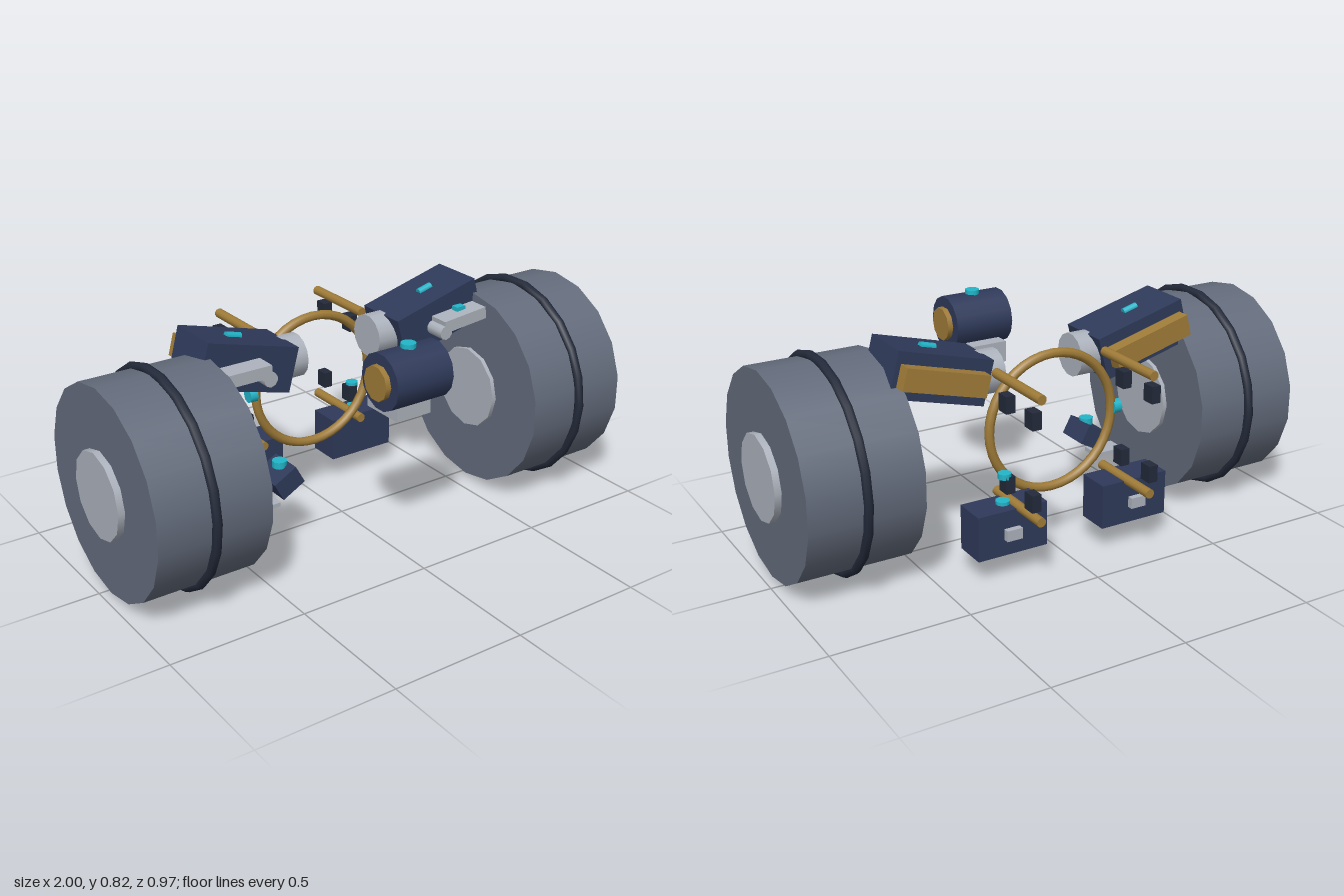
import * as THREE from 'three';

const mat = (color) => new THREE.MeshStandardMaterial({ color });

export function createModel() {
  const root = new THREE.Group();
  const navy = mat(0x2f3a5a), slate = mat(0x646c7c), dark = mat(0x232a3a);
  const grey = mat(0xadb3bd), bronze = mat(0xa07c38), cyan = mat(0x22b5c9);

  function add(name, geometry, material, x, y, z, parent = root) {
    const mesh = new THREE.Mesh(geometry, material);
    mesh.name = name;
    mesh.position.set(x, y, z);
    parent.add(mesh);
    return mesh;
  }
  const box = (w, h, d) => new THREE.BoxGeometry(w, h, d);
  const cyl = (r, length, sides, start = 0) =>
    new THREE.CylinderGeometry(r, r, length, sides, 1, false, start);
  const cylX = (r, length, sides, start) => cyl(r, length, sides, start).rotateZ(Math.PI / 2);
  const cylZ = (r, length, sides) => cyl(r, length, sides).rotateX(Math.PI / 2);

  for (const s of [-1, 1]) {
    const side = s > 0 ? 'left' : 'right';

    // Large drums with a raised band and a hub through the middle
    add(side + 'Drum', cylX(0.375, 0.415, 18, Math.PI / 2), slate, s * 0.768, 0.4, 0.047);
    add(side + 'DrumBand', new THREE.TorusGeometry(0.38, 0.017, 8, 22).rotateY(Math.PI / 2),
      dark, s * 0.77, 0.4, 0.047);
    add(side + 'Hub', cylX(0.156, 0.455, 12), grey, s * 0.772, 0.4, 0.047);

    // Tilted shoulder housing with rear rail and top lamp
    const shoulder = new THREE.Group();
    shoulder.name = side + 'Shoulder';
    shoulder.position.set(s * 0.41, 0.704, -0.057);
    shoulder.rotation.z = s * 0.262;
    root.add(shoulder);
    add('shoulderHousing', box(0.365, 0.165, 0.207), navy, 0, 0, 0, shoulder);
    add('shoulderRail', box(0.32, 0.08, 0.05), bronze, s * 0.005, 0, -0.128, shoulder);
    add('shoulderLamp', cylX(0.014, 0.058, 8), cyan, s * 0.024, 0.083, 0, shoulder);

    // Joint between the shoulder and the centre
    add(side + 'Joint', cylX(0.08, 0.1, 14), grey, s * 0.204, 0.662, -0.062);

    // Lever on the front of the shoulder
    const lever = add(side + 'Lever', box(0.19, 0.045, 0.08), grey, s * 0.465, 0.712, 0.085);
    lever.rotation.z = s > 0 ? 0.1 : 0;
    add(side + 'LeverPivot', cylZ(0.027, 0.08, 10), grey, s * 0.375, 0.682, 0.085);

    // Lower rear box and its latch
    add(side + 'LowerBox', box(0.27, 0.165, 0.125), navy, s * 0.25, 0.182, -0.287);
    add(side + 'LowerLatch', box(0.06, 0.04, 0.03), grey, s * 0.255, 0.18, -0.357);

    // Rear rods with small blocks beside them
    for (const y of [0.7, 0.265]) {
      add(side + 'Rod', cylZ(0.0175, 0.3, 10), bronze, s * 0.22, y, -0.335);
    }
    for (const y of [0.628, 0.335]) {
      for (const z of [-0.285, -0.455]) {
        add(side + 'Block', box(0.035, 0.062, 0.05), dark, s * 0.235, y, z);
      }
    }
  }

  // Central ring and its side knob
  add('ring', new THREE.TorusGeometry(0.25, 0.0175, 8, 40), bronze, 0, 0.482, -0.188);
  add('ringKnob', cylX(0.027, 0.03, 8), cyan, -0.268, 0.485, -0.188);

  // Front barrel with core, top button and mount
  add('barrel', cylX(0.102, 0.23, 14), navy, 0, 0.701, 0.383);
  add('barrelCore', cylX(0.063, 0.27, 10), bronze, 0, 0.701, 0.383);
  add('barrelButton', cyl(0.027, 0.03, 12), cyan, 0, 0.801, 0.383);
  add('barrelMount', box(0.14, 0.08, 0.17), grey, 0, 0.597, 0.337);

  // Small tilted box and plate on the right side
  const pouch = add('tiltedBox', box(0.1, 0.075, 0.13), navy, -0.315, 0.278, 0.07);
  pouch.rotation.z = 0.5;
  add('tiltedBoxLamp', cyl(0.027, 0.025, 10), cyan, -0.315, 0.331, 0.07);
  add('sidePlate', box(0.12, 0.016, 0.08), grey, -0.4, 0.192, 0.07);

  // Indicator lamps on the left side
  add('blockLamp', cyl(0.024, 0.02, 10), cyan, 0.247, 0.367, -0.287);
  add('lowerBoxLamp', cyl(0.026, 0.02, 10), cyan, 0.255, 0.267, -0.287);
  add('leverLamp', box(0.04, 0.016, 0.03), cyan, 0.475, 0.742, 0.07);

  return root;
}
